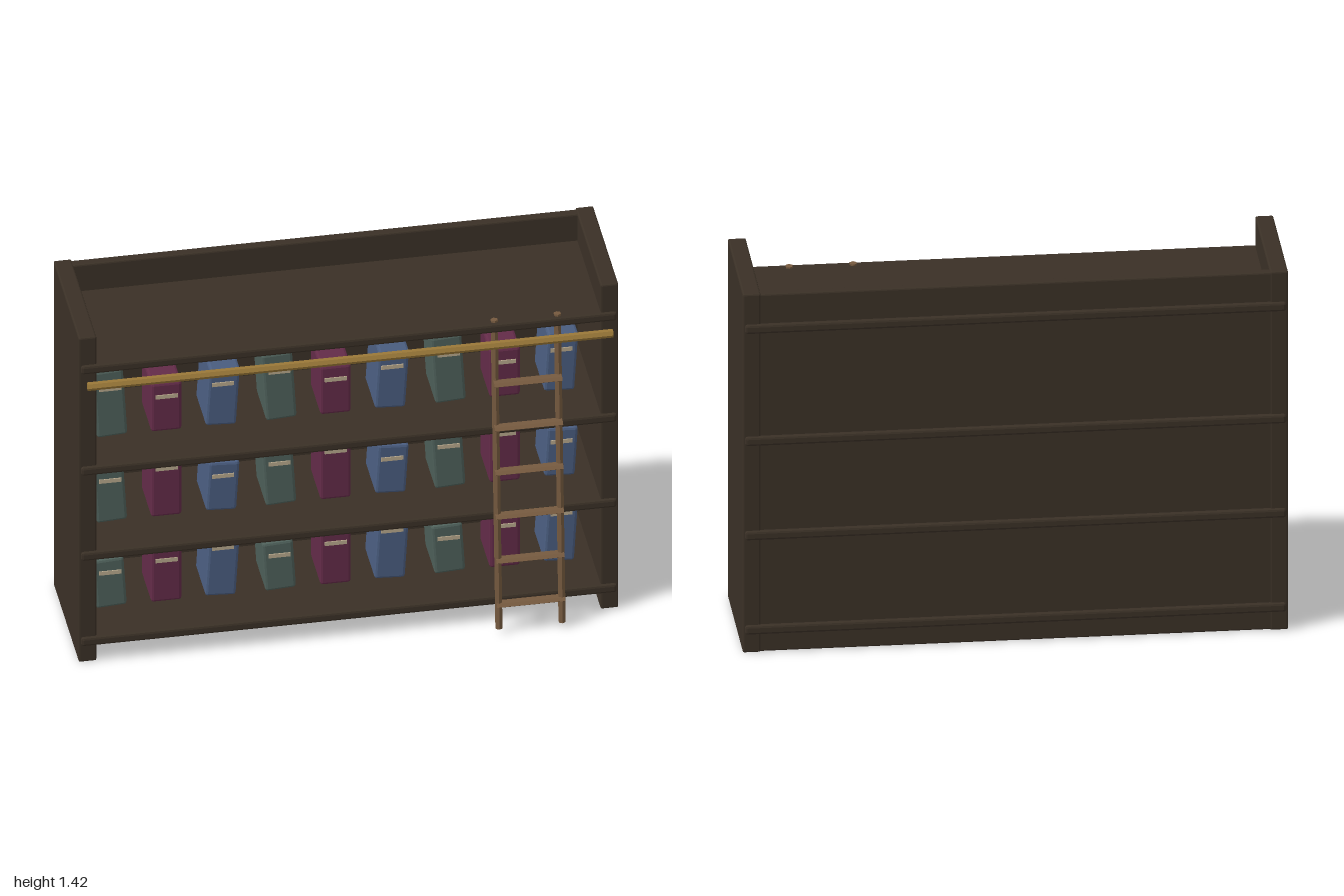
import * as THREE from 'three';
import { RoundedBoxGeometry } from 'three/addons/geometries/RoundedBoxGeometry.js';

function mat(name, color) {
  const m = new THREE.MeshStandardMaterial({ color, flatShading: true });
  m.name = name;
  return m;
}

export function createModel() {
  const wood = mat('dark wood', 0x3a3026);
  const brass = mat('brass', 0x9a7838);
  const ladderWood = mat('ladder wood', 0x765a3f);
  const paper = mat('label cream', 0xb8a88c);
  const covers = [mat('green cover', 0x4e605a), mat('crimson cover', 0x632b48), mat('blue cover', 0x4a5d80)];

  const model = new THREE.Group();
  model.name = 'bookcase';

  function add(parent, name, geometry, material, x, y, z) {
    const mesh = new THREE.Mesh(geometry, material);
    mesh.name = name;
    mesh.position.set(x, y, z);
    parent.add(mesh);
    return mesh;
  }
  // Box with small chamfered edges
  const block = (w, h, d, r = 0.006) => new RoundedBoxGeometry(w, h, d, 1, r);

  // Low-poly rod between two points
  function rod(parent, name, a, b, radius, material) {
    const dir = b.clone().sub(a);
    const mesh = add(parent, name, new THREE.CylinderGeometry(radius, radius, dir.length(), 6), material, 0, 0, 0);
    mesh.position.copy(a).lerp(b, 0.5);
    mesh.quaternion.setFromUnitVectors(new THREE.Vector3(0, 1, 0), dir.normalize());
    return mesh;
  }

  // Case: two sides, a back, and shelves that stick out a little at front and back
  const midZ = -0.043;
  for (const s of [-1, 1]) {
    add(model, s > 0 ? 'leftSide' : 'rightSide', block(0.066, 1.425, 0.517), wood, s * 0.967, 0.7125, midZ);
  }
  add(model, 'backPanel', block(1.89, 1.42, 0.036), wood, 0, 0.711, -0.279);
  const shelfY = [0.092, 0.467, 0.842, 1.288];
  for (const y of shelfY) add(model, 'shelf', block(1.985, 0.036, 0.541, 0.009), wood, 0, y, midZ);

  // Books: covers and heights cycle, with the order of heights shifting per shelf
  const heights = [0.21, 0.25, 0.29];
  const leans = [0.06, 0, -0.06];
  const bookDepth = 0.2, bookFront = 0.04;
  for (let row = 0; row < 3; row++) {
    const base = shelfY[row] + 0.017;
    for (let i = 0; i < 9; i++) {
      const kind = i % 3;
      const h = heights[(kind + row) % 3];
      const book = new THREE.Group();
      book.name = 'book';
      book.position.set(-0.852 + i * 0.209, base, 0);
      model.add(book);
      const cover = add(book, 'cover', block(0.114, h, bookDepth, 0.01), covers[kind],
        0, h / 2, bookFront - bookDepth / 2);
      cover.rotation.z = leans[kind];
      add(book, 'label', new THREE.BoxGeometry(0.082, 0.016, 0.006), paper, 0, h * 0.73, bookFront + 0.001);
    }
  }

  // Brass rail across the front
  rod(model, 'ladderRail', new THREE.Vector3(-0.975, 1.238, 0.256), new THREE.Vector3(0.972, 1.238, 0.256), 0.016, brass);

  // Leaning ladder
  const ladder = new THREE.Group();
  ladder.name = 'ladder';
  model.add(ladder);
  for (const x of [0.542, 0.776]) {
    rod(ladder, 'ladderPost', new THREE.Vector3(x, 0.02, 0.297), new THREE.Vector3(x, 1.313, 0.2), 0.014, ladderWood);
  }
  for (let i = 0; i < 6; i++) {
    const rung = new THREE.CylinderGeometry(0.011, 0.011, 0.252, 6);
    rung.rotateZ(Math.PI / 2);
    rung.scale(1, 0.95, 2.2); // flattened tread
    add(ladder, 'rung', rung, ladderWood, 0.659, 0.12 + i * 0.187, 0.29 - i * 0.0105);
  }
  return model;
}
